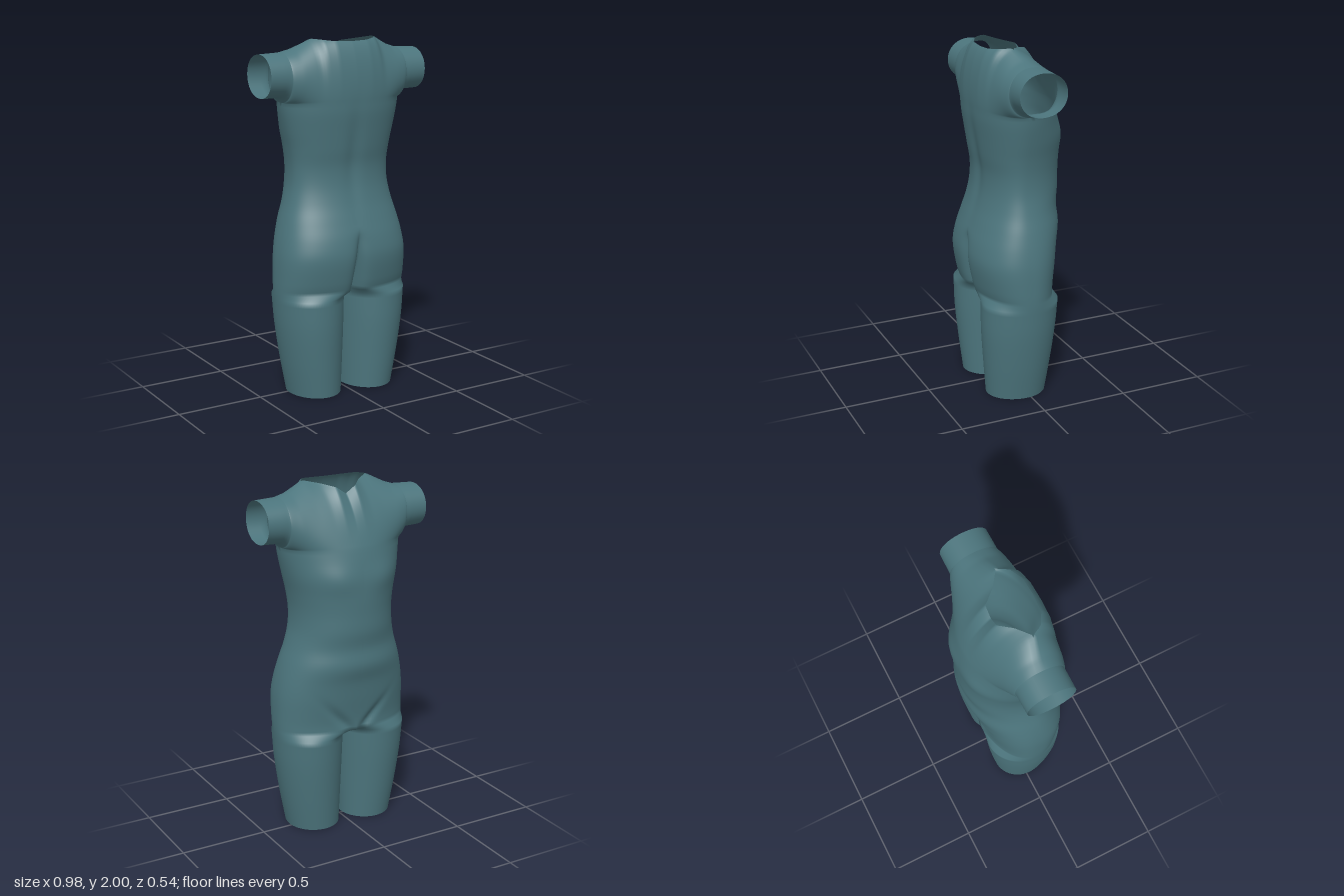
import * as THREE from 'three';
import { mergeVertices } from 'three/addons/utils/BufferGeometryUtils.js';

const Z0 = 0.02;          // depth of the side seam
const CROTCH = 0.6, ARMPIT = 1.66;
const M = 72;             // columns around half the body
const INNER = 14;         // columns along the inside of a leg

// Torso: y, half width, z of seat side, z of belly side, roundness of each
const TORSO = [
  [0.6, 0.4, 0.238, -0.2, 2.3, 2.2],
  [0.66, 0.4, 0.255, -0.2, 2.4, 2.2],
  [0.8, 0.394, 0.275, -0.22, 2.5, 2.2],
  [0.9, 0.379, 0.264, -0.235, 2.4, 2.2],
  [1.0, 0.355, 0.235, -0.26, 2.3, 2.1],
  [1.1, 0.325, 0.205, -0.253, 2.2, 2.1],
  [1.2, 0.303, 0.185, -0.267, 2.2, 2.1],
  [1.3, 0.299, 0.182, -0.268, 2.2, 2.1],
  [1.4, 0.311, 0.198, -0.27, 2.2, 2.1],
  [1.5, 0.333, 0.212, -0.268, 2.2, 2.1],
  [1.6, 0.354, 0.225, -0.25, 2.2, 2],
  [1.66, 0.363, 0.228, -0.235, 2.2, 2],
];
// Leg: y, inner x, outer x, z of each side
const LEG = [
  [0, 0.02, 0.322, 0.207, -0.14],
  [0.2, 0.014, 0.358, 0.226, -0.165],
  [0.4, 0.008, 0.386, 0.241, -0.187],
  [0.57, 0.003, 0.399, 0.243, -0.2],
];
// Yoke profiles: x, then y and z of two handles and of the top end
const YOKE_SEAT = [
  [0, 1.76, 0.235, 1.92, 0.22, 1.985, 0.165],
  [0.1, 1.76, 0.232, 1.93, 0.215, 1.988, 0.158],
  [0.17, 1.76, 0.22, 1.95, 0.2, 1.997, 0.12],
  [0.2, 1.76, 0.215, 1.95, 0.19, 2.0, 0.06],
  [0.3, 1.73, 0.21, 1.93, 0.2, 1.95, 0.03],
  [0.363, 1.67, 0.205, 1.935, 0.2, 1.93, 0.02],
  [0.49, 1.69, 0.2, 1.925, 0.2, 1.925, 0.02],
];
const YOKE_CHEST = [
  [0, 1.76, -0.2, 1.86, -0.15, 1.93, -0.07],
  [0.06, 1.76, -0.197, 1.9, -0.14, 1.97, -0.07],
  [0.12, 1.76, -0.195, 1.91, -0.13, 1.985, 0],
  [0.2, 1.75, -0.19, 1.93, -0.13, 2.0, 0.06],
  [0.3, 1.72, -0.18, 1.92, -0.15, 1.95, 0.03],
  [0.363, 1.67, -0.168, 1.93, -0.165, 1.93, 0.02],
  [0.49, 1.69, -0.165, 1.925, -0.165, 1.925, 0.02],
];

// Interpolates a key table, straight or with smooth slopes
function sample(keys, k, smooth) {
  let i = 0;
  while (i < keys.length - 2 && k > keys[i + 1][0]) i++;
  const a = keys[i], b = keys[i + 1], d = b[0] - a[0];
  const t = THREE.MathUtils.clamp((k - a[0]) / d, 0, 1);
  if (!smooth) return a.map((v, n) => v + (b[n] - v) * t);
  const p = keys[i - 1] || a, q = keys[i + 2] || b;
  return a.map((v, n) => {
    const m0 = (b[n] - p[n]) / (b[0] - p[0]) * d, m1 = (q[n] - v) / (q[0] - a[0]) * d;
    const t2 = t * t, t3 = t2 * t;
    return v * (2 * t3 - 3 * t2 + 1) + m0 * (t3 - 2 * t2 + t) + b[n] * (3 * t2 - 2 * t3) + m1 * (t3 - t2);
  });
}

const bump = (v, centre, width) => Math.exp(-(((v - centre) / width) ** 2));

function torsoPoint(y, angle) {
  const [, w, zs, zb, ns, nb] = sample(TORSO, y, true);
  const c = Math.max(0, Math.cos(angle)), s = Math.sin(angle);
  const u = c * (0.4 + 0.6 * c * c), x = w * u;
  const seat = s >= 0, n = seat ? ns : nb;
  const round = Math.abs(s) < 1e-9 ? 0 : Math.max(0, 1 - u ** n) ** (1 / n);
  let z = Z0 + (seat ? zs - Z0 : zb - Z0) * round;
  if (seat) {
    // cleft of the seat and hollow of the spine
    z -= 0.12 * Math.max(0, (0.94 - y) / 0.34) ** 0.8 * Math.exp(-x / 0.025);
    z -= 0.012 * bump(x, 0, 0.05) * bump(y, 1.35, 0.25);
  } else {
    // groin creases and lower edge of the chest
    z += 0.018 * bump(x, 0.03 + (y - CROTCH) * 0.9, 0.035) * bump(y, 0.66, 0.1);
    z -= 0.01 * bump(x, 0.14, 0.09) * bump(y, 1.5, 0.08);
  }
  return [x, y, z];
}

const halfAngle = (j) => Math.PI / 2 - Math.PI * j / M;

function torsoRow(y) {
  return Array.from({ length: M + 1 }, (_, j) => torsoPoint(y, halfAngle(j)));
}

// Closed ring of one leg; the top ring follows the torso and the centre line
function legRow(y) {
  const row = [];
  if (y >= CROTCH) {
    row.push(...torsoRow(CROTCH));
    const a = row[M][2], b = row[0][2];
    for (let k = 1; k <= INNER; k++) row.push([0, CROTCH, a + (b - a) * k / INNER]);
    return row;
  }
  const [, xi, xo, zs, zb] = sample(LEG, y, true);
  const open = Math.PI * 0.86;
  for (let j = 0; j <= M + INNER; j++) {
    const phi = j <= M ? open * (1 - 2 * j / M) : -open - (2 * Math.PI - 2 * open) * (j - M) / INNER;
    const s = Math.sin(phi);
    row.push([(xi + xo) / 2 + (xo - xi) / 2 * Math.cos(phi), y, Z0 + (s > 0 ? zs - Z0 : Z0 - zb) * s]);
  }
  return row;
}

// Shoulder and sleeve panel: one curve from the torso edge to the top per column
function yokeRows(keys, side) {
  const starts = [];
  for (let j = 0; j <= M / 2; j++) starts.push(torsoPoint(ARMPIT, side * halfAngle(j)));
  const edge = starts[M / 2][0];
  for (let k = 1; k <= 8; k++) {
    const x = edge + (0.49 - edge) * k / 8;
    starts.push([x, Math.min(1.69, ARMPIT + (x - edge)), Z0]);
  }
  if (side < 0) starts.reverse();
  const curves = starts.map(([x, y, z]) => {
    const [, y1, z1, y2, z2, y3, z3] = sample(keys, x, false);
    return new THREE.CubicBezierCurve3(
      new THREE.Vector3(x, y, z), new THREE.Vector3(x, y1, z1),
      new THREE.Vector3(x, y2, z2), new THREE.Vector3(x, y3, z3));
  });
  return Array.from({ length: 21 }, (_, i) => curves.map((c) => c.getPoint(i / 20).toArray()));
}

// Joins the row grids and their mirror image into one smooth shell
function shell(grids) {
  const pos = [], index = [];
  for (const mirror of [1, -1]) {
    for (const rows of grids) {
      const base = pos.length / 3, n = rows[0].length;
      rows.forEach((row) => row.forEach(([x, y, z]) => pos.push(mirror * x, y, z)));
      for (let i = 0; i < rows.length - 1; i++) {
        for (let j = 0; j < n - 1; j++) {
          const a = base + i * n + j, b = a + 1, c = a + n, d = c + 1;
          if (mirror > 0) index.push(a, b, c, b, d, c);
          else index.push(a, c, b, b, c, d);
        }
      }
    }
  }
  const g = new THREE.BufferGeometry();
  g.setAttribute('position', new THREE.Float32BufferAttribute(pos, 3));
  g.setIndex(index);
  const merged = mergeVertices(g, 1e-4);
  merged.computeVertexNormals();
  return merged;
}

export function createModel() {
  const fabric = new THREE.MeshStandardMaterial({ color: 0x4c757d, side: THREE.DoubleSide });
  fabric.name = 'teal fabric';

  const legs = [];
  for (let i = 0; i <= 19; i++) legs.push(legRow(i * 0.03));
  legs.push(legRow(CROTCH));

  const torso = [];
  for (let i = 0; i <= 48; i++) torso.push(torsoRow(CROTCH + (ARMPIT - CROTCH) * i / 48));

  const suit = new THREE.Mesh(
    shell([legs, torso, yokeRows(YOKE_SEAT, 1), yokeRows(YOKE_CHEST, -1)]), fabric);
  suit.name = 'bodySuit';

  const group = new THREE.Group();
  group.name = 'shortSleevedBodySuit';
  group.add(suit);
  return group;
}
